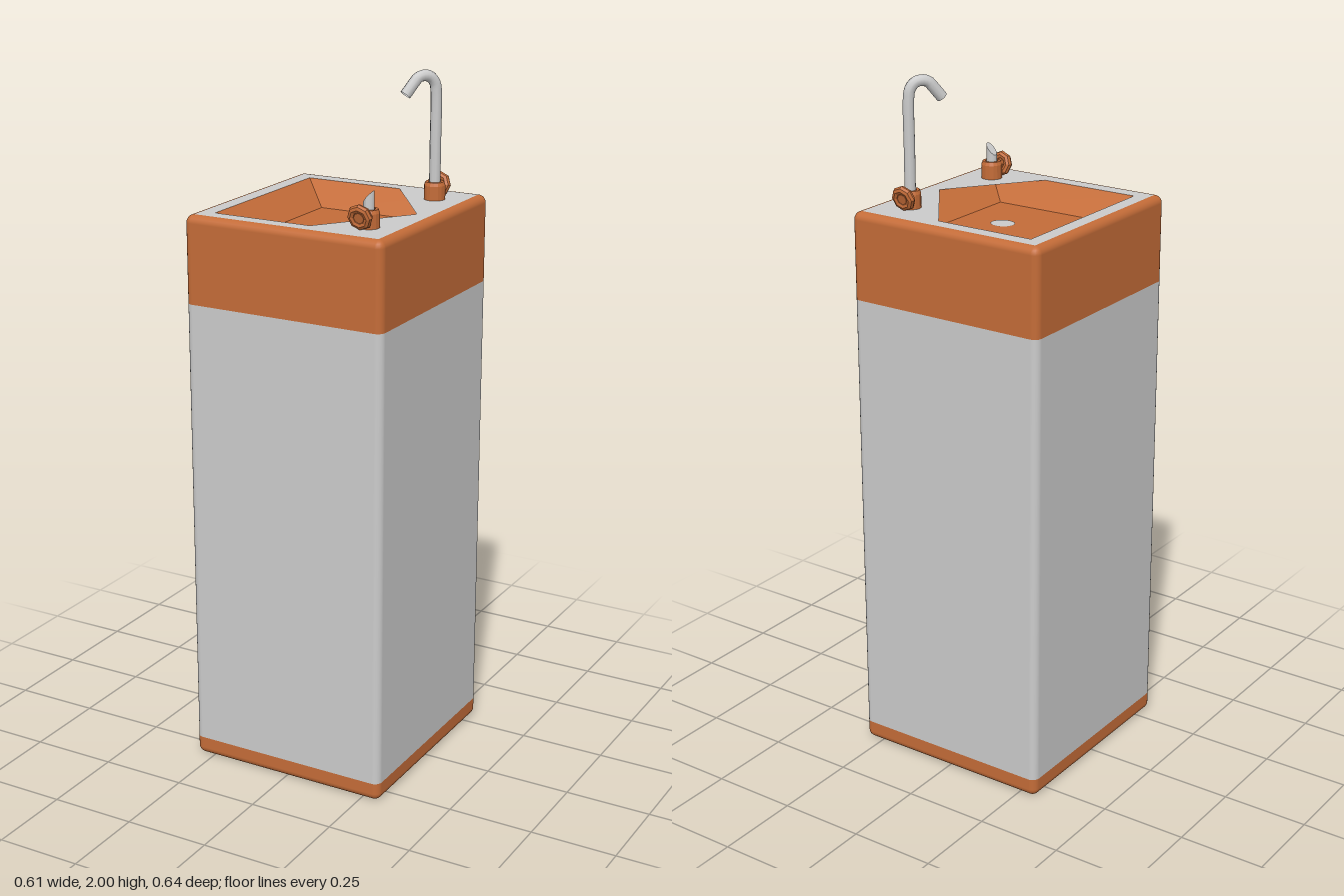
import * as THREE from 'three';

const HX = 0.306, HZ = 0.3185, R = 0.022, TOP = 1.635;
const grey = new THREE.MeshStandardMaterial({ color: 0xcccccc, side: THREE.DoubleSide });
const orange = new THREE.MeshStandardMaterial({ color: 0xc46c38, side: THREE.DoubleSide });
const orangeFlat = new THREE.MeshStandardMaterial({ color: 0xc46c38, side: THREE.DoubleSide, flatShading: true });

function add(parent, name, geometry, material, x = 0, y = 0, z = 0) {
  const mesh = new THREE.Mesh(geometry, material);
  mesh.name = name;
  mesh.position.set(x, y, z);
  parent.add(mesh);
  return mesh;
}

// Rounded rectangular shell; each row is [height, tilt of the surface normal]
function shell(rows) {
  const pos = [], nor = [], idx = [], steps = 5, n = 4 * (steps + 1);
  const signs = [[1, 1], [-1, 1], [-1, -1], [1, -1]];
  rows.forEach(([y, e]) => signs.forEach(([sx, sz], c) => {
    for (let k = 0; k <= steps; k++) {
      const a = (c + k / steps) * Math.PI / 2;
      const nx = Math.cos(e) * Math.cos(a), nz = Math.cos(e) * Math.sin(a);
      pos.push(sx * (HX - R) + R * nx, y, sz * (HZ - R) + R * nz);
      nor.push(nx, Math.sin(e), nz);
    }
  }));
  for (let r = 0; r < rows.length - 1; r++) {
    for (let i = 0; i < n; i++) {
      const a = r * n + i, b = r * n + (i + 1) % n;
      idx.push(a, a + n, b, b, a + n, b + n);
    }
  }
  const g = new THREE.BufferGeometry();
  g.setAttribute('position', new THREE.Float32BufferAttribute(pos, 3));
  g.setAttribute('normal', new THREE.Float32BufferAttribute(nor, 3));
  g.setIndex(idx);
  return g;
}

// Rows for a quarter-round edge running between two normal tilts
function fillet(centreY, from, to) {
  return Array.from({ length: 6 }, (_, i) => {
    const e = from + (to - from) * i / 5;
    return [centreY + R * Math.sin(e), e];
  });
}

// Sloping four-sided bowl with a flat floor
function bowl(top, floor, depth) {
  const ring = ([x, z], y) => [-x, y, -z, x, y, -z, x, y, z, -x, y, z];
  const g = new THREE.BufferGeometry();
  g.setAttribute('position', new THREE.Float32BufferAttribute([...ring(top, 0), ...ring(floor, -depth)], 3));
  const idx = [4, 6, 5, 4, 7, 6];
  for (let i = 0; i < 4; i++) {
    const j = (i + 1) % 4;
    idx.push(i, i + 4, j, j, i + 4, j + 4);
  }
  g.setIndex(idx);
  const flat = g.toNonIndexed();
  flat.computeVertexNormals();
  return flat;
}

// Collar and tilted hand wheel; side = -1 faces the back, +1 the front
function valve(name, z, side) {
  const group = new THREE.Group();
  group.name = name;
  group.position.set(0.2, TOP, z);
  const profile = [[0.03, 0], [0.03, 0.04], [0.026, 0.05], [0.018, 0.05], [0.016, 0.03]]
    .map(([r, y]) => new THREE.Vector2(r, y));
  add(group, 'collar', new THREE.LatheGeometry(profile, 16), orangeFlat);
  const wheel = new THREE.Group();
  wheel.name = 'handWheel';
  wheel.position.set(-0.006, 0.034, side * 0.038);
  wheel.rotation.x = side * 0.25;
  add(wheel, 'wheelRim', new THREE.TorusGeometry(0.025, 0.012, 8, 8), orangeFlat);
  const hub = add(wheel, 'wheelHub', new THREE.CylinderGeometry(0.015, 0.015, 0.03, 8), orangeFlat, 0, 0, -side * 0.007);
  hub.rotation.x = Math.PI / 2;
  group.add(wheel);
  return group;
}

export function createModel() {
  const model = new THREE.Group();
  model.name = 'drinkingFountain';

  // Cabinet in three stacked bands
  const H = Math.PI / 2;
  add(model, 'baseBand', shell([...fillet(R, -H, 0), [0.055, 0]]), orange);
  add(model, 'cabinet', shell([[0.055, 0], [1.385, 0]]), grey);
  add(model, 'topBand', shell([[1.385, 0], ...fillet(TOP - R, 0, H)]), orange);
  const under = new THREE.PlaneGeometry(2 * (HX - R), 2 * (HZ - R)).rotateX(H);
  add(model, 'underside', under, orange);

  // Counter plate with a pointed opening
  const w = HX - R, d = HZ - R;
  const points = list => list.map(([x, y]) => new THREE.Vector2(x, y));
  const plate = new THREE.Shape(points([[-w, -d], [w, -d], [w, d], [-w, d]]));
  plate.holes.push(new THREE.Path(points(
    [[-0.243, -0.256], [-0.243, 0.256], [0.055, 0.256], [0.242, 0], [0.055, -0.256]])));
  add(model, 'counter', new THREE.ShapeGeometry(plate).rotateX(-H), grey, 0, TOP, 0);

  // Basin and drain
  const depth = 0.065;
  add(model, 'basin', bowl([0.243, 0.256], [0.161, 0.183], depth), orange, 0, TOP, 0);
  const drain = new THREE.CircleGeometry(0.035, 32).rotateX(-H).scale(1, 1, 0.92);
  add(model, 'drain', drain, grey, 0.027, TOP - depth + 0.002, 0.003);

  // Tall filler tap, hooked diagonally over the basin
  const tap = valve('fillerTap', -0.19, -1);
  const path = [[0, 0], [0, 0.16], [0, 0.3], [0.004, 0.325], [0.018, 0.343], [0.038, 0.348],
    [0.056, 0.343], [0.068, 0.33], [0.094, 0.298]]
    .map(([s, y]) => new THREE.Vector3(-0.6 * s, y, 0.8 * s));
  add(tap, 'gooseneck', new THREE.TubeGeometry(new THREE.CatmullRomCurve3(path), 48, 0.016, 10), grey);
  model.add(tap);

  // Short bubbler with a slanted tip
  const bubbler = valve('bubbler', 0.195, 1);
  const nozzle = new THREE.CylinderGeometry(0.015, 0.015, 0.085, 12).translate(0, 0.0425, 0);
  const p = nozzle.attributes.position;
  for (let i = 0; i < p.count; i++) {
    if (p.getY(i) > 0.05) p.setY(i, 0.084 + p.getX(i) * 1.1);
  }
  nozzle.computeVertexNormals();
  add(bubbler, 'nozzle', nozzle, grey);
  model.add(bubbler);

  return model;
}
